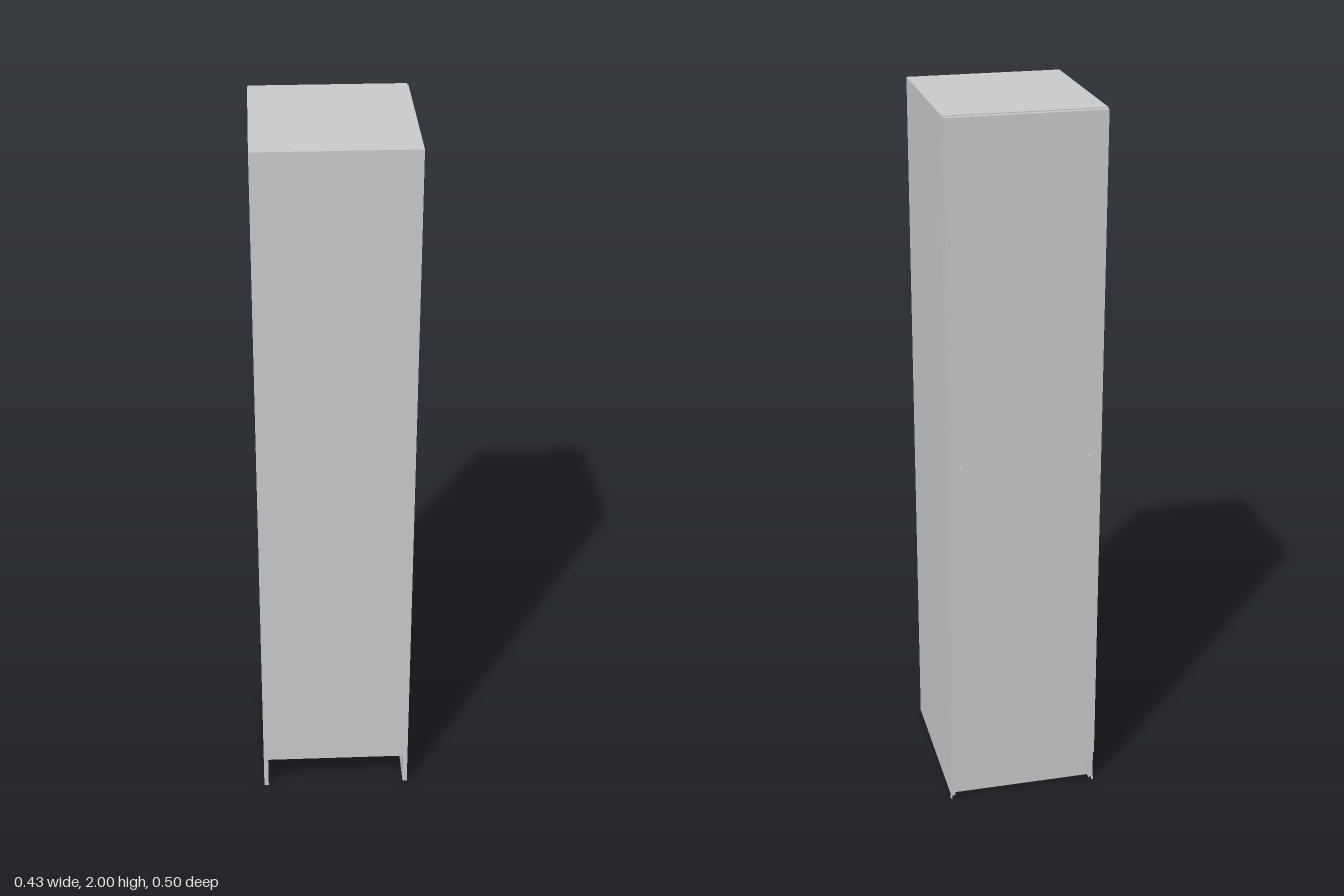
import * as THREE from 'three';

export function createModel() {
  const group = new THREE.Group();
  const material = new THREE.MeshStandardMaterial({ color: 0xcccccc });

  const add = (name, geometry, x, y, z) => {
    const mesh = new THREE.Mesh(geometry, material);
    mesh.name = name;
    mesh.position.set(x, y, z);
    group.add(mesh);
    return mesh;
  };
  // box given by its lower and upper limits on each axis
  const box = (name, [x0, x1], [y0, y1], [z0, z1]) =>
    add(name, new THREE.BoxGeometry(x1 - x0, y1 - y0, z1 - z0),
      (x0 + x1) / 2, (y0 + y1) / 2, (z0 + z1) / 2);

  const W = 0.213, T = 0.013, inner = W - T;
  const floorY = 0.105, zDoorSide = -0.227, zPanel = 0.248;

  // carcass
  box('leftSide', [inner, W], [0.008, 2], [zDoorSide, zPanel]);
  box('rightSide', [-W, -inner], [0.008, 2], [zDoorSide, zPanel]);
  box('topPanel', [-inner, inner], [2 - T, 2], [zDoorSide, zPanel]);
  box('bottomPanel', [-inner, inner], [floorY, floorY + T], [zDoorSide, zPanel]);
  box('closingPanel', [-inner, inner], [floorY + T, 2 - T], [zPanel - 0.006, zPanel]);
  box('kickPanel', [-inner, inner], [0.01, floorY], [-0.215, -0.203]);

  // door, set a little off the carcass
  box('door', [-0.211, 0.211], [floorY, 1.998], [-0.244, -0.23]);

  for (const side of [-1, 1]) {
    // door knobs
    const knob = add('knob', new THREE.CylinderGeometry(0.0045, 0.0045, 0.007, 16), side * 0.177, 1.055, -0.2465);
    knob.rotation.x = Math.PI / 2;

    // hinge pins in the door gap
    for (const y of [0.21, 1.17, 1.91]) {
      add('hingePin', new THREE.CylinderGeometry(0.002, 0.002, 0.016, 12), side * 0.212, y, -0.2285);
    }

    // small corner feet
    add('foot', new THREE.CylinderGeometry(0.003, 0.003, 0.01, 12), side * 0.212, 0.005, -0.227);
  }
  return group;
}
